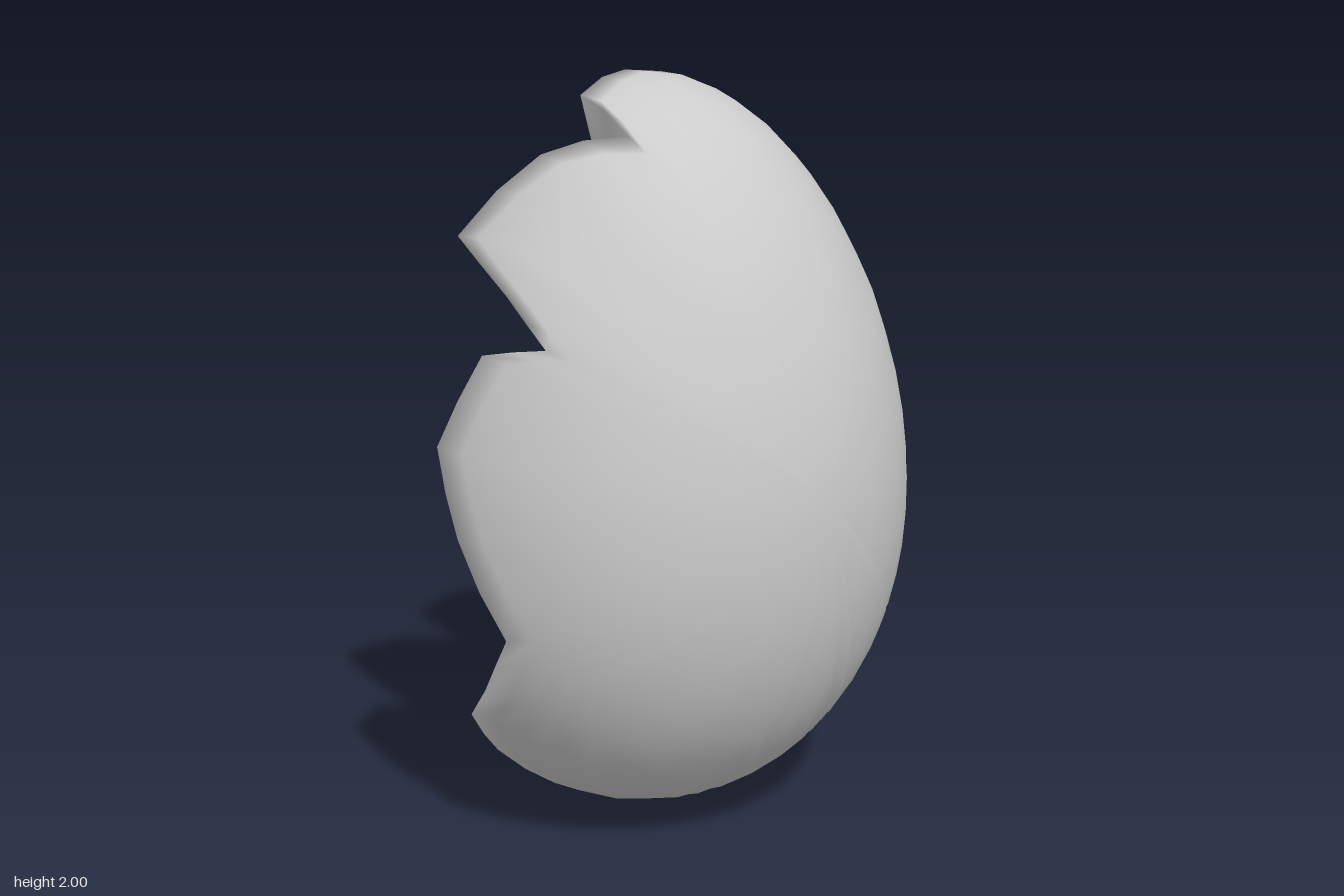
import * as THREE from 'three';
import { mergeVertices } from 'three/addons/utils/BufferGeometryUtils.js';

const CX = -0.23; // x of the egg's vertical axis

// Jagged rim, once around from the top over the front (+z), the bottom and the back
const RIM = [
  [-0.30, 1.995, 0], [-0.23, 1.95, 0.22], [0.0, 1.87, 0.23], [-0.18, 1.82, 0.37],
  [-0.34, 1.61, 0.52], [-0.07, 1.50, 0.56], [0.08, 1.39, 0.57], [-0.09, 1.36, 0.64],
  [-0.19, 1.12, 0.72], [-0.10, 0.90, 0.71], [0.02, 0.65, 0.66], [-0.10, 0.48, 0.64],
  [-0.23, 0.36, 0.60], [-0.26, 0.22, 0.50], [-0.20, 0.10, 0.37], [-0.14, 0.015, 0.13],
  [-0.31, 0.008, 0.01], [-0.16, 0.02, -0.14], [0.02, 0.09, -0.21], [-0.28, 0.09, -0.26],
  [-0.42, 0.12, -0.33], [-0.27, 0.25, -0.52], [-0.10, 0.37, -0.58], [-0.28, 0.37, -0.62],
  [-0.50, 0.44, -0.57], [-0.41, 0.62, -0.67], [-0.28, 0.87, -0.72], [-0.40, 1.15, -0.68],
  [-0.49, 1.41, -0.59], [-0.38, 1.57, -0.52], [-0.17, 1.81, -0.37], [-0.235, 1.95, -0.19],
];
const RINGS = 12;
const SPLIT = 2; // pieces per rim stretch

// Unit direction belonging to a rim point
function direction([x, y, z]) {
  const dy = y - 1, c = Math.sqrt(1 - dy * dy), phi = Math.atan2(z, x - CX);
  return new THREE.Vector3(c * Math.cos(phi), dy, c * Math.sin(phi));
}

// Egg surface, wider towards the bottom
function eggPoint(d) {
  const r = 0.715 * (1 - 0.12 * d.y);
  return [CX + d.x * r, 1 + d.y, d.z * r];
}

// Rim drawn inwards to give the broken edge its thickness
function lipPoint([x, y, z]) {
  return [-0.12 + (x + 0.12) * 0.85, 0.97 + (y - 0.97) * 0.85, z * 0.85];
}

// Smooth surface through closed rows of points
function loft(rows) {
  const n = rows[0].length, index = [];
  for (let i = 0; i < rows.length - 1; i++) {
    for (let j = 0; j < n; j++) {
      const k = (j + 1) % n;
      const a = i * n + j, b = a + n, c = (i + 1) * n + k, e = i * n + k;
      index.push(a, b, c, a, c, e);
    }
  }
  let geo = new THREE.BufferGeometry();
  geo.setAttribute('position', new THREE.Float32BufferAttribute(rows.flat(2), 3));
  geo.setIndex(index);
  geo = mergeVertices(geo, 1e-5);
  geo.computeVertexNormals();
  return geo;
}

export function createModel() {
  const group = new THREE.Group();
  group.name = 'brokenEggshell';

  const rim = [];
  RIM.forEach((p, i) => {
    const a = direction(p), b = direction(RIM[(i + 1) % RIM.length]);
    for (let s = 0; s < SPLIT; s++) rim.push(a.clone().lerp(b, s / SPLIT).normalize());
  });

  // Rings spreading from the +x side out to the rim
  const rows = [];
  for (let i = 0; i <= RINGS; i++) {
    rows.push(rim.map((d) => {
      const angle = Math.acos(d.x) * i / RINGS, side = Math.hypot(d.y, d.z);
      return eggPoint(new THREE.Vector3(Math.cos(angle),
        Math.sin(angle) * d.y / side, Math.sin(angle) * d.z / side));
    }));
  }
  rows.push(rows[RINGS].map(lipPoint));

  // Open shell with its lip, seen from both sides
  const shell = new THREE.Mesh(loft(rows),
    new THREE.MeshStandardMaterial({ color: 0xcccccc, side: THREE.DoubleSide }));
  shell.name = 'shell';
  group.add(shell);
  return group;
}
